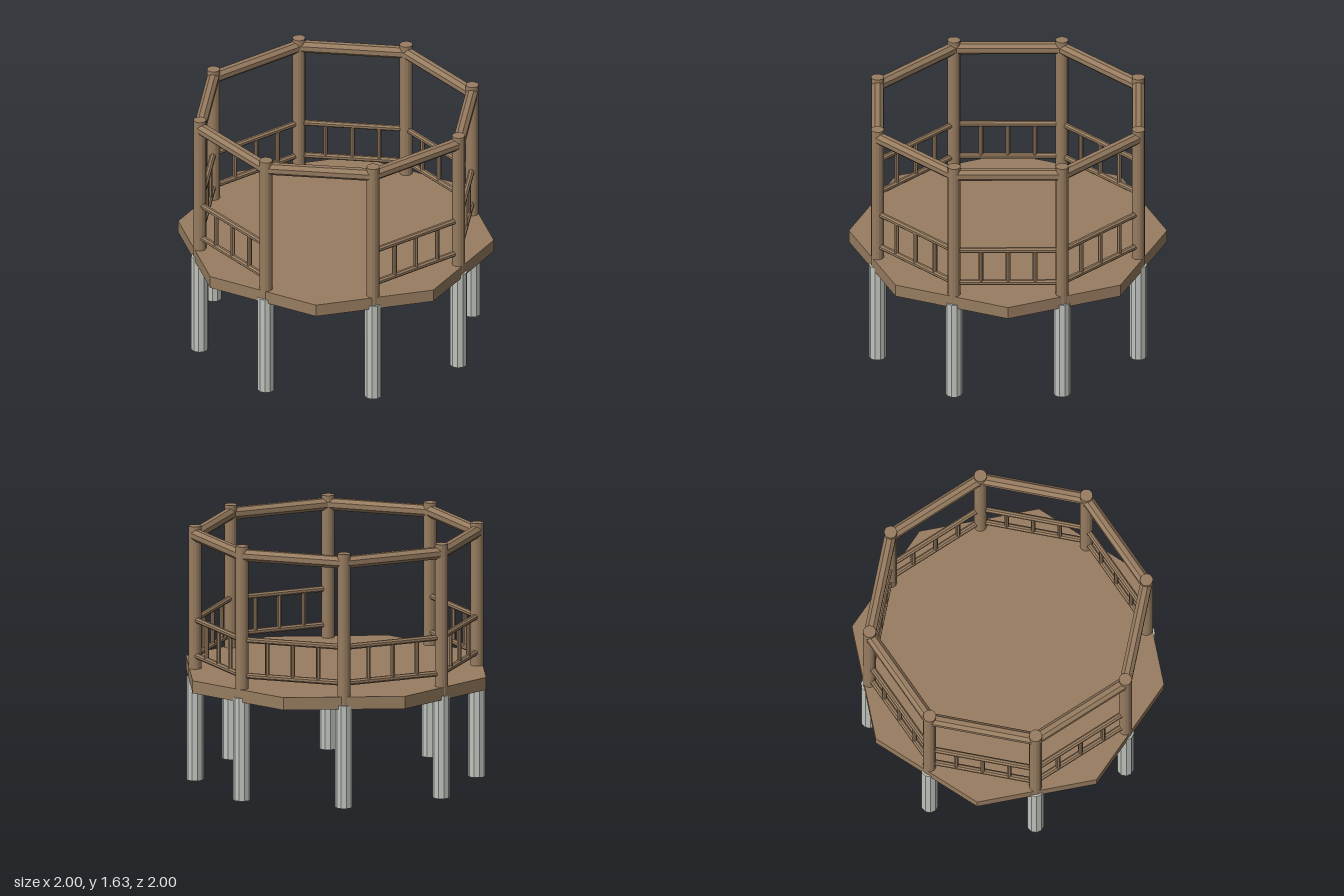
import * as THREE from 'three';

const POSTS = 8;
const RING = 0.887; // radius of the post circle
const STEP = (Math.PI * 2) / POSTS;
const SIDE = 2 * RING * Math.sin(STEP / 2); // distance between posts
const APOTHEM = RING * Math.cos(STEP / 2);

export function createModel() {
  const model = new THREE.Group();
  model.name = 'gazeboFrame';

  const wood = new THREE.MeshStandardMaterial({ color: 0x977c60, flatShading: true });
  wood.name = 'wood';
  const concrete = new THREE.MeshStandardMaterial({ color: 0xbfc3bc, flatShading: true });
  concrete.name = 'concrete';

  // Upright cylinder between two heights
  function upright(name, radius, y0, y1, sides, material, x, z, parent = model) {
    const mesh = new THREE.Mesh(new THREE.CylinderGeometry(radius, radius, y1 - y0, sides), material);
    mesh.position.set(x, (y0 + y1) / 2, z);
    mesh.name = name;
    parent.add(mesh);
    return mesh;
  }

  // Horizontal bar along local x
  function bar(name, radius, y, parent) {
    const geometry = new THREE.CylinderGeometry(radius, radius, SIDE, 8);
    geometry.rotateY(Math.PI / 8).rotateZ(Math.PI / 2);
    const mesh = new THREE.Mesh(geometry, wood);
    mesh.position.set(0, y, APOTHEM);
    mesh.name = name;
    parent.add(mesh);
  }

  // Eight-sided deck with its corners on the axes
  upright('deck', 1, 0.635, 0.715, POSTS, wood, 0, 0);

  for (let i = 0; i < POSTS; i++) {
    // Footing and post at each corner of the ring
    const angle = (i + 0.5) * STEP;
    const x = Math.sin(angle) * RING;
    const z = Math.cos(angle) * RING;
    upright('footing', 0.055, 0, 0.66, 10, concrete, x, z);
    upright('post', 0.041, 0.645, 1.63, 14, wood, x, z);

    // One side of the frame, turned into place
    const side = new THREE.Group();
    side.name = 'frameSide';
    side.rotation.y = i * STEP;
    model.add(side);
    bar('topBeam', 0.04, 1.572, side);

    // The front side stays open as the entrance
    if (i === 0) continue;
    bar('handRail', 0.019, 1.028, side);
    bar('bottomRail', 0.019, 0.798, side);
    for (const k of [-1, 0, 1]) {
      upright('baluster', 0.015, 0.8, 1.025, 8, wood, (k * SIDE) / 4, APOTHEM, side);
    }
  }
  return model;
}
